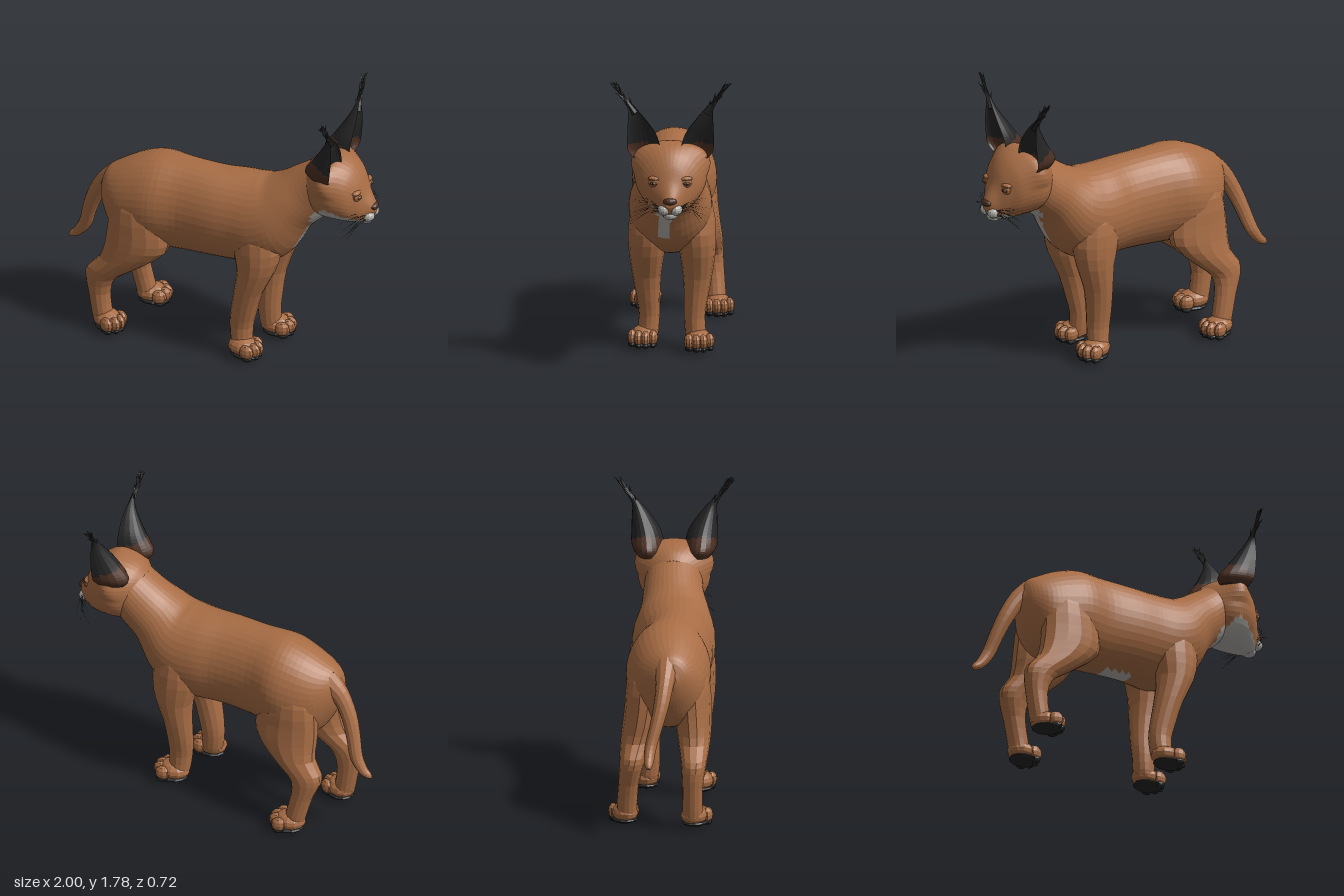
import * as THREE from 'three';
import { mergeGeometries } from 'three/addons/utils/BufferGeometryUtils.js';

const mat = (name, color) => new THREE.MeshStandardMaterial({ name, color, flatShading: true });

// Loft through sections [x, y, z, in-plane radius, z radius, tilt in degrees].
// pick(centroid) gives the material index of each triangle; cup hollows the front side;
// warp(vertex) reshapes the surface.
function loft(name, sections, mats, { n = 18, steps = 2, pick = () => 0, cup = 1, warp = v => v } = {}) {
  const curveA = new THREE.CatmullRomCurve3(sections.map(s => new THREE.Vector3(s[0], s[1], s[2])), false, 'catmullrom');
  const curveB = new THREE.CatmullRomCurve3(sections.map(s => new THREE.Vector3(s[3], s[4], s[5])), false, 'catmullrom');
  const rows = (sections.length - 1) * steps;
  const rings = [], centres = [];
  for (let i = 0; i <= rows; i++) {
    const c = curveA.getPoint(i / rows), r = curveB.getPoint(i / rows);
    const tilt = THREE.MathUtils.degToRad(r.z);
    centres.push(c);
    rings.push(Array.from({ length: n }, (_, j) => {
      const a = j / n * Math.PI * 2;
      const s = Math.sin(a) * r.x * (Math.sin(a) < 0 ? cup : 1);
      return warp(new THREE.Vector3(c.x + Math.cos(tilt) * s, c.y + Math.sin(tilt) * s, c.z + Math.cos(a) * r.y));
    }));
  }
  const buckets = mats.map(() => []);
  const tri = (a, b, c) => {
    const mid = a.clone().add(b).add(c).divideScalar(3);
    buckets[pick(mid)].push(...a.toArray(), ...b.toArray(), ...c.toArray());
  };
  for (let j = 0; j < n; j++) {
    const k = (j + 1) % n;
    for (let i = 0; i < rows; i++) {
      const p = rings[i], q = rings[i + 1];
      tri(p[j], q[j], p[k]);
      tri(q[j], q[k], p[k]);
    }
    tri(centres[0], rings[0][j], rings[0][k]);
    tri(centres[rows], rings[rows][k], rings[rows][j]);
  }
  const geo = new THREE.BufferGeometry();
  geo.setAttribute('position', new THREE.Float32BufferAttribute(buckets.flat(), 3));
  let start = 0;
  buckets.forEach((b, i) => { geo.addGroup(start, b.length / 3, i); start += b.length / 3; });
  geo.computeVertexNormals();
  const mesh = new THREE.Mesh(geo, mats);
  mesh.name = name;
  return mesh;
}

function blob(name, material, [x, y, z], [rx, ry, rz], w = 12, h = 8) {
  const mesh = new THREE.Mesh(new THREE.SphereGeometry(1, w, h), material);
  mesh.position.set(x, y, z);
  mesh.scale.set(rx, ry, rz);
  mesh.name = name;
  return mesh;
}

// Thin pointed hair from a to b
function hair(a, b, r) {
  const dir = b.clone().sub(a), len = dir.length();
  const q = new THREE.Quaternion().setFromUnitVectors(new THREE.Vector3(0, 1, 0), dir.normalize());
  return new THREE.ConeGeometry(r, len, 4).translate(0, len / 2, 0).applyQuaternion(q).translate(a.x, a.y, a.z);
}

function randomiser(seed) {
  return () => (seed = (seed * 16807) % 2147483647) / 2147483647;
}

export function createModel() {
  const model = new THREE.Group();
  model.name = 'wildCat';
  const fur = mat('tawny fur', 0xa86d45), white = mat('pale fur', 0xb4b0ab), black = mat('black fur', 0x252525);
  const brown = mat('dark brown fur', 0x4c3023), amber = mat('eye', 0x6b4426);

  // Torso and neck, with chest stripe, throat and belly patch
  model.add(loft('torso', [
    [-.735, .9, .02, .04, .04, 90], [-.70, .89, .02, .14, .11, 90], [-.62, .85, .01, .235, .19, 90],
    [-.5, .86, 0, .285, .235, 90], [-.37, .88, 0, .3, .25, 90], [-.2, .88, .01, .295, .22, 90],
    [0, .88, .02, .288, .225, 90], [.14, .88, .01, .288, .238, 90], [.26, .882, .01, .288, .247, 93],
    [.38, .935, .01, .25, .238, 108], [.48, 1.05, .01, .185, .2, 123],
    [.58, 1.13, 0, .17, .178, 128], [.68, 1.225, 0, .14, .165, 128],
  ], [fur, white], {
    n: 40, steps: 4,
    pick: p => {
      const stripe = p.x > .46 && p.y > .76 && p.y < 1.08 && Math.abs(p.z - .038) < .028 + .12 * (p.y - .76);
      const throat = p.x > .615 && p.z > -.09 && p.y < 1.07 + 1.2 * (p.x - .66);
      const belly = p.y < .63 && p.x > -.14 && p.x < .03 && Math.abs(p.z - .01) < .06;
      return stripe || throat || belly ? 1 : 0;
    },
  }));

  // Head with pale jaw, flaring out below the ears
  model.add(loft('head', [
    [.565, 1.23, 0, .09, .1, 90], [.61, 1.2, 0, .165, .16, 90], [.68, 1.2, 0, .198, .205, 90],
    [.76, 1.203, 0, .207, .212, 90], [.84, 1.18, 0, .19, .18, 90], [.895, 1.145, 0, .157, .125, 90],
    [.935, 1.1, 0, .108, .078, 90], [.97, 1.09, 0, .055, .045, 90], [.985, 1.09, 0, .025, .025, 90],
  ], [fur, white], {
    n: 40, steps: 6,
    pick: p => p.x > .63 && p.z > -.09 && p.y < 1.13 - .5 * (p.x - .72) && p.y < 1.13 + 1.6 * (p.x - .72) ? 1 : 0,
    warp: v => {
      v.z *= 1 + 2.3 * Math.max(0, v.y - 1.2) * Math.exp(-(((v.x - .71) / .085) ** 2));
      return v;
    },
  }));
  model.add(blob('nose', brown, [.974, 1.104, 0], [.026, .022, .042]));
  model.add(blob('noseBridge', brown, [.952, 1.112, 0], [.03, .022, .036]));
  model.add(blob('chin', white, [.925, 1.01, 0], [.04, .03, .045]));

  const rand = randomiser(11);
  const jitter = s => (rand() - .5) * s;
  for (const s of [1, -1]) {
    const side = s > 0 ? 'left' : 'right';
    model.add(blob(side + 'Muzzle', white, [.947, 1.048, s * .035], [.042, .035, .038]));
    // Eye set under a brow
    model.add(blob(side + 'EyeSocket', fur, [.897, 1.2, s * .09], [.026, .034, .038]));
    model.add(blob(side + 'EyeRim', black, [.902, 1.198, s * .094], [.024, .015, .028]));
    model.add(blob(side + 'Iris', amber, [.911, 1.198, s * .097], [.02, .013, .02]));
    model.add(blob(side + 'Pupil', black, [.92, 1.198, s * .1], [.013, .009, .009]));
    model.add(blob(side + 'Brow', fur, [.893, 1.222, s * .09], [.028, .016, .042]));

    // Cupped ear, open to the front
    model.add(loft(side + 'Ear', [
      [.768, 1.315, s * .15, .15, .07, 180], [.785, 1.365, s * .157, .185, .095, 180], [.795, 1.45, s * .167, .135, .088, 180],
      [.8, 1.53, s * .19, .087, .062, 180], [.795, 1.6, s * .217, .042, .033, 180], [.783, 1.66, s * .25, .012, .013, 180],
    ], [black, brown], { n: 20, steps: 5, cup: -.3, pick: p => p.y < 1.445 - .45 * (p.x - .65) ? 1 : 0 }));

    // Ear tuft
    const root = new THREE.Vector3(.782, 1.59, s * .21), tip = new THREE.Vector3(.77, 1.78, s * .345);
    const tuft = [hair(root, tip, .022)];
    for (let i = 0; i < 26; i++) {
      const a = root.clone().lerp(tip, .1 + rand() * .65);
      const b = a.clone().add(new THREE.Vector3(jitter(.045), .06 + jitter(.04), s * (.035 + jitter(.05))));
      b.y = Math.min(b.y, 1.78);
      tuft.push(hair(a, b, .01));
    }
    const tuftMesh = new THREE.Mesh(mergeGeometries(tuft), black);
    tuftMesh.name = side + 'EarTuft';
    model.add(tuftMesh);

    // Whiskers, bent once
    const whiskers = [];
    for (let i = 0; i < 10; i++) {
      const h = i / 9 - .5;
      const a = new THREE.Vector3(.94 + jitter(.03), 1.05 + h * .03, s * .06);
      const b = new THREE.Vector3(.925 + jitter(.04), 1.06 + h * .08, s * (.13 + jitter(.03)));
      const c = new THREE.Vector3(.875 + jitter(.12), 1.015 + h * .17, s * (.215 + jitter(.07)));
      whiskers.push(hair(a, b, .0017), hair(b, c, .0014));
    }
    const whiskerMesh = new THREE.Mesh(mergeGeometries(whiskers), black);
    whiskerMesh.name = side + 'Whiskers';
    model.add(whiskerMesh);
  }

  // Tail
  model.add(loft('tail', [
    [-.64, .98, 0, .08, .08, -50], [-.74, .9, -.01, .058, .055, -45], [-.81, .78, -.03, .05, .046, -28],
    [-.855, .66, -.06, .044, .04, -18], [-.89, .55, -.09, .04, .036, -22], [-.94, .475, -.1, .03, .03, -45],
    [-.98, .447, -.1, .02, .02, -65], [-.998, .437, -.1, .006, .006, -65],
  ], [fur], { n: 12, steps: 3 }));

  // Paw with four toes and a dark sole, turned outward by yaw
  function paw(name, x, z, yaw) {
    const g = new THREE.Group();
    g.name = name;
    g.add(blob('pawTop', fur, [-.015, .07, 0], [.095, .058, .078]));
    g.add(blob('sole', black, [0, .025, 0], [.096, .022, .078]));
    for (let i = 0; i < 4; i++) {
      const t = (i - 1.5) / 1.5, x0 = .066 - .028 * t * t;
      g.add(blob('toe', fur, [x0, .066, t * .062], [.046, .046, .029], 10, 6));
      g.add(blob('toePad', black, [x0 + .003, .025, t * .062], [.035, .02, .024], 8, 6));
    }
    g.position.set(x, 0, z);
    g.rotation.y = yaw;
    return g;
  }

  // Legs: lower sections slide by (dx, dz) toward the foot to set the stance
  function leg(name, sections, s, dx, dz, foot, yaw, lift) {
    const posed = sections.map(([x, y, z, h, w]) => {
      const k = THREE.MathUtils.clamp((.65 - y) / .45, 0, 1);
      return [x + dx * k, y, s * (z + dz * k), h, w, 0];
    });
    model.add(loft(name, posed, [fur], { n: 14, steps: 2 }));
    const foothold = paw(name + 'Paw', foot[0] + dx, s * (foot[1] + dz), -s * yaw);
    foothold.position.y = lift;
    model.add(foothold);
  }
  const front = [
    [.28, 1.02, .1, .08, .09], [.28, .88, .13, .125, .112], [.287, .74, .142, .148, .117], [.283, .6, .15, .116, .105],
    [.237, .45, .151, .088, .085], [.203, .3, .142, .08, .069], [.187, .2, .136, .072, .062],
    [.192, .1, .143, .066, .062], [.2, .06, .15, .06, .06],
  ];
  const hind = [
    [-.47, 1.02, .09, .1, .1], [-.47, .86, .128, .165, .115], [-.46, .71, .143, .195, .113], [-.475, .6, .15, .195, .108],
    [-.55, .5, .155, .15, .095], [-.645, .42, .157, .13, .08], [-.698, .355, .155, .094, .07],
    [-.708, .25, .15, .068, .06], [-.69, .12, .15, .064, .06], [-.68, .06, .15, .06, .06],
  ];
  leg('leftFrontLeg', front, 1, 0, 0, [.225, .17], .12, .01);
  leg('rightFrontLeg', front, -1, .07, -.005, [.235, .16], .12, .01);
  leg('leftHindLeg', hind, 1, 0, 0, [-.64, .165], .4, .01);
  leg('rightHindLeg', hind, -1, .12, .09, [-.64, .165], .2, -.003);
  return model;
}
